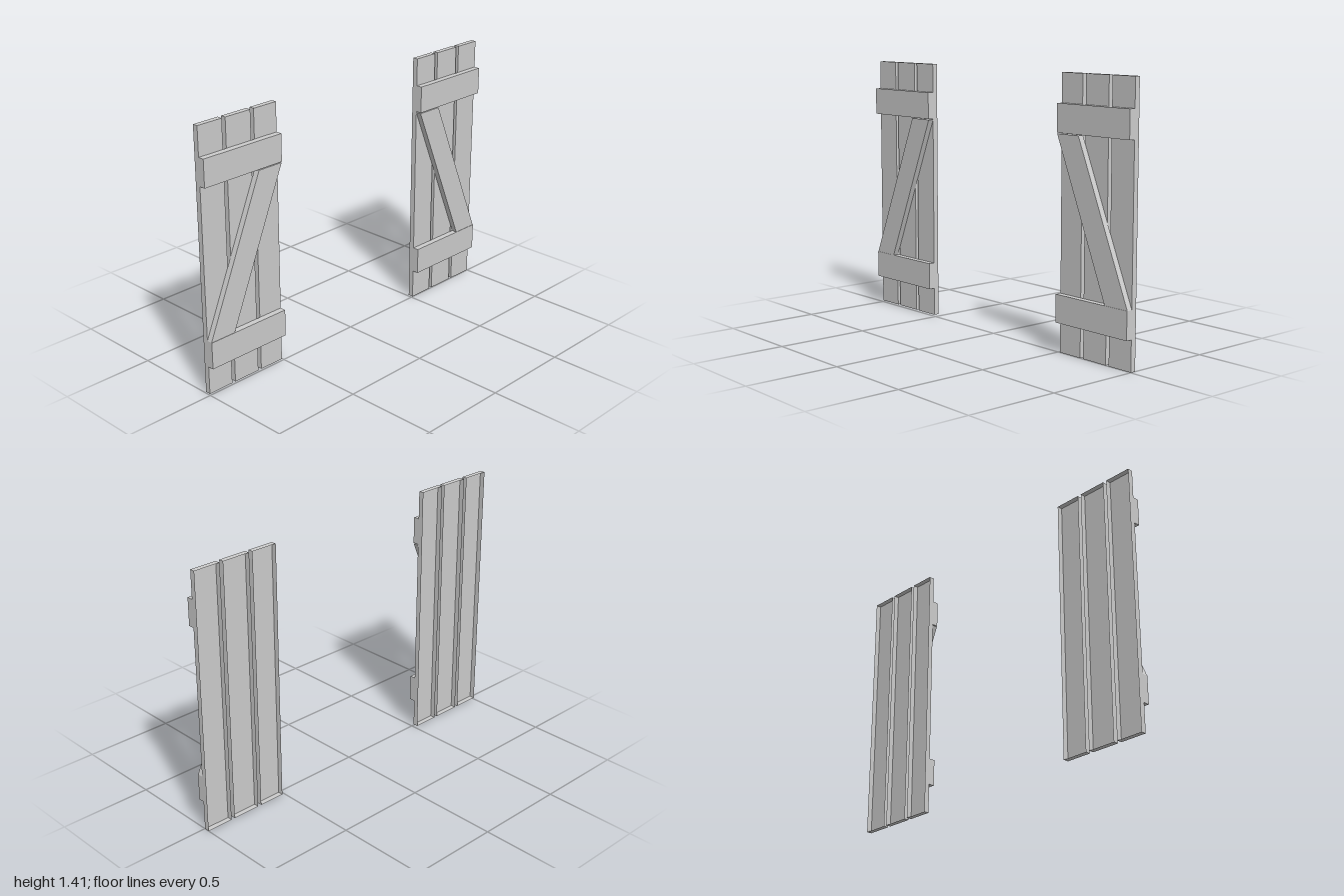
import * as THREE from 'three';

const material = new THREE.MeshStandardMaterial({
  color: 0xcccccc, flatShading: true, side: THREE.DoubleSide,
});

// Open-backed board: four [z, y] corners, counter-clockwise seen from +x
function board(name, corners, xBack, xFront) {
  const front = corners.map(([z, y]) => [xFront, y, z]);
  const back = corners.map(([z, y]) => [xBack, y, z]);
  const positions = [];
  const quad = (a, b, c, d) => positions.push(...a, ...b, ...c, ...a, ...c, ...d);
  quad(...front);
  for (let i = 0; i < 4; i++) {
    const j = (i + 1) % 4;
    quad(back[i], back[j], front[j], front[i]);
  }
  const geometry = new THREE.BufferGeometry();
  geometry.setAttribute('position', new THREE.Float32BufferAttribute(positions, 3));
  geometry.computeVertexNormals();
  const mesh = new THREE.Mesh(geometry, material);
  mesh.name = name;
  return mesh;
}

const rect = (zMin, zMax, yMin, yMax) =>
  [[zMax, yMin], [zMin, yMin], [zMin, yMax], [zMax, yMax]];

const BACK = -0.031, MIDDLE = -0.002, FRONT = 0.031;

// One shutter; side = +1 or -1 picks the end of the z axis
function shutter(name, side, yMin, yMax) {
  const group = new THREE.Group();
  group.name = name;
  const span = (a, b, y0, y1) =>
    rect(Math.min(side * a, side * b), Math.max(side * a, side * b), y0, y1);

  // Three upright planks
  [[0.512, 0.656], [0.677, 0.832], [0.853, 1]].forEach(([a, b], i) =>
    group.add(board(`plank${i + 1}`, span(a, b, yMin, yMax), BACK, MIDDLE)));

  // Two cross battens
  group.add(board('lowerBatten', span(0.512, 1, 0.16, 0.305), MIDDLE, FRONT));
  group.add(board('upperBatten', span(0.512, 1, 1.113, 1.258), MIDDLE, FRONT));

  // Diagonal brace, from the outer bottom to the inner top
  const brace = [[1, 0.305], [0.85, 0.305], [0.512, 1.108], [0.66, 1.108]]
    .map(([z, y]) => [side * z, y]);
  if (side < 0) brace.reverse();
  group.add(board('diagonalBrace', brace, MIDDLE, FRONT - 0.002));
  return group;
}

export function createModel() {
  const model = new THREE.Group();
  model.name = 'shutterPair';
  model.add(shutter('frontShutter', 1, 0.008, 1.412));
  model.add(shutter('rearShutter', -1, 0, 1.407));
  return model;
}
